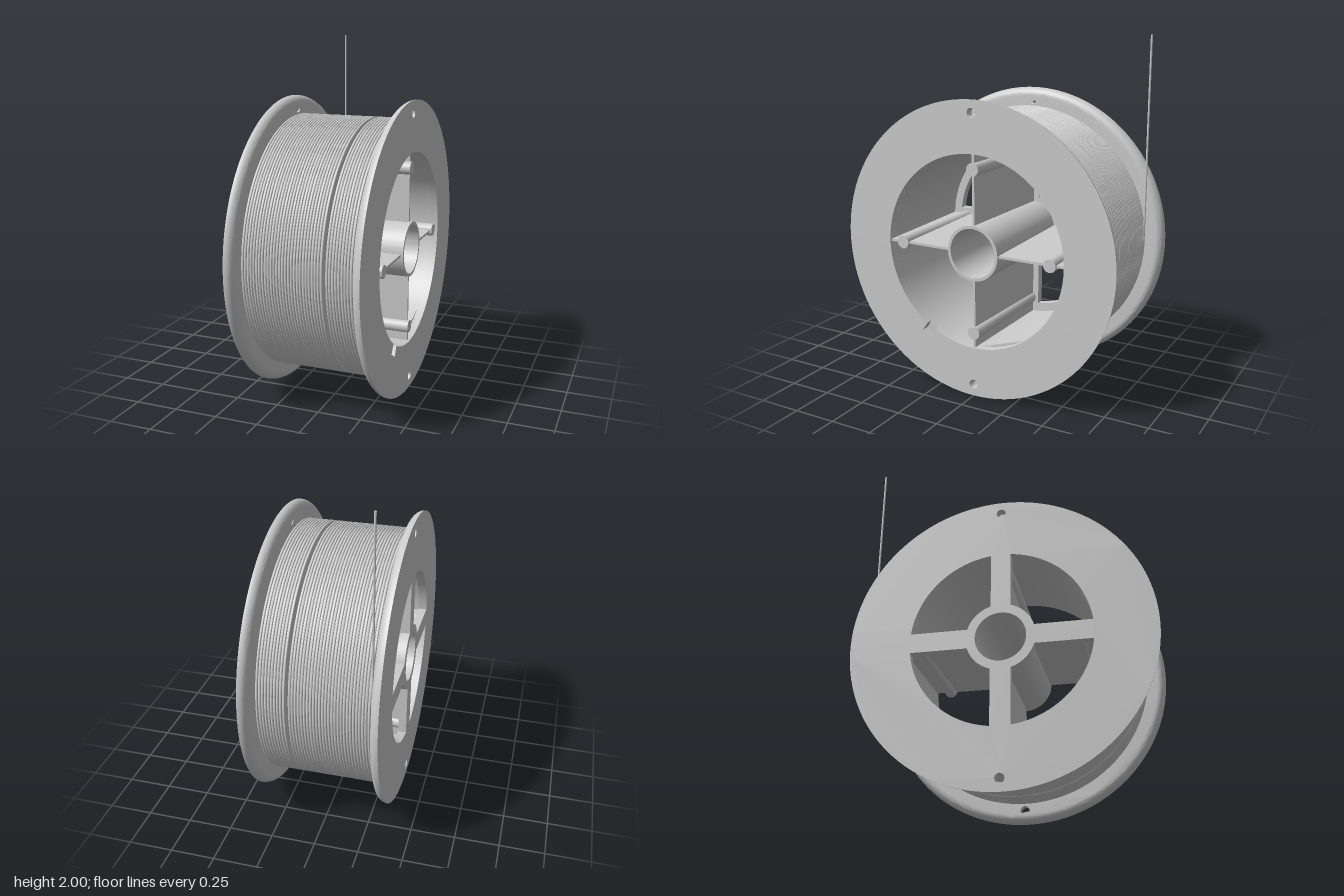
import * as THREE from 'three';
import { toCreasedNormals } from 'three/addons/utils/BufferGeometryUtils.js';

const R = 0.84;        // flange radius, also the height of the axle
const END = 0.37;      // outer face of each flange
const THICK = 0.048;   // flange thickness

export function createModel() {
  const model = new THREE.Group();
  const spool = new THREE.Group();
  spool.name = 'spool';
  spool.position.y = R;
  model.add(spool);
  const material = new THREE.MeshStandardMaterial({ color: 0xcccccc });

  function add(name, geometry, parent = spool) {
    const mesh = new THREE.Mesh(geometry, material);
    mesh.name = name;
    parent.add(mesh);
    return mesh;
  }

  // Turned part about the x axis; profile points are [radius, x]
  function turned(points, segments = 96) {
    const g = new THREE.LatheGeometry(points.map(([r, x]) => new THREE.Vector2(r, x)), segments);
    g.rotateZ(-Math.PI / 2);
    return toCreasedNormals(g, 0.7);
  }
  const tube = (ri, ro, a, b) => turned([[ri, a], [ro, a], [ro, b], [ri, b], [ri, a]]);

  function circle(x, y, r) {
    return new THREE.Path().absarc(x, y, r, 0, Math.PI * 2, false);
  }

  // Flange disc, its rim rounded off towards the inside
  function flange(holes, side) {
    const shape = new THREE.Shape().absarc(0, 0, R, 0, Math.PI * 2, false);
    shape.holes.push(...holes, circle(0, 0.77, 0.026), circle(0, -0.77, 0.026));
    const g = new THREE.ExtrudeGeometry(shape, { depth: THICK, steps: 8, bevelEnabled: false, curveSegments: 96 });
    const p = g.attributes.position;
    for (let i = 0; i < p.count; i++) {
      const a = (1 - p.getZ(i) / THICK) * Math.PI / 2;
      const onRim = Math.hypot(p.getX(i), p.getY(i)) > R - 0.01;
      const k = onRim ? 1 - 0.045 / R * (1 - Math.cos(a)) : 1;
      p.setXYZ(i, p.getX(i) * k, p.getY(i) * k, THICK * (1 - Math.sin(a)));
    }
    g.translate(0, 0, END - THICK);
    g.rotateY(side * Math.PI / 2);
    return toCreasedNormals(g, 0.7);
  }

  // Open flange: wide bore with a small notch in its edge
  const notch = Math.atan2(-0.49, -0.29), half = 0.055, turn = Math.PI * 2;
  const bore = new THREE.Path();
  bore.absarc(0, 0, 0.55, notch + half, notch - half + turn, false);
  bore.absarc(0, 0, 0.61, notch - half + turn, notch + half + turn, false);
  bore.closePath();
  add('openFlange', flange([bore], 1));

  // Spoked flange: four windows between a cross of spokes and a boss
  const windows = [];
  const spoke = 0.055, outer = 0.5, inner = 0.19;
  for (let q = 0; q < 4; q++) {
    const base = q * Math.PI / 2;
    const ao = Math.asin(spoke / outer), ai = Math.asin(spoke / inner);
    const w = new THREE.Path();
    w.absarc(0, 0, outer, base + ao, base + Math.PI / 2 - ao, false);
    w.absarc(0, 0, inner, base + Math.PI / 2 - ai, base + ai, true);
    w.closePath();
    windows.push(w);
  }
  add('spokedFlange', flange([...windows, circle(0, 0, 0.14)], -1));

  // Drum wall and hub
  add('drum', tube(0.55, 0.57, -0.33, 0.33));
  add('hub', tube(0.14, 0.157, -END + 0.002, END));

  // Ribs and round posts, one set behind each spoke
  for (let i = 0; i < 4; i++) {
    const arm = new THREE.Group();
    arm.name = 'arm' + (i + 1);
    arm.rotation.x = i * Math.PI / 2;
    spool.add(arm);

    const post = new THREE.CylinderGeometry(0.037, 0.037, 0.7, 24).rotateZ(-Math.PI / 2);
    post.translate(0.015, 0.465, 0);
    add('post', toCreasedNormals(post, 0.7), arm);

    const rib = new THREE.BoxGeometry(0.69, 0.405, 0.014);
    rib.translate(0.01, 0.3525, 0);
    const p = rib.attributes.position;
    for (let v = 0; v < p.count; v++) {
      if (p.getX(v) < 0) p.setZ(v, p.getZ(v) * 2.8);   // draft towards the spoke
    }
    rib.computeVertexNormals();
    add('rib', rib, arm);
  }

  // Wound wire: a bundle with one rounded bump per turn
  function bundle(name, from, to, turns) {
    const pitch = (to - from) / turns, wire = 0.0074, r = 0.729;
    const pts = [[0.568, from]];
    for (let t = 0; t < turns; t++) {
      const x = from + (t + 0.5) * pitch;
      for (let s = 0; s <= 6; s++) {
        const a = Math.PI * s / 6;
        pts.push([r + wire * Math.sin(a), x - wire * Math.cos(a)]);
      }
    }
    pts.push([0.568, to]);
    add(name, turned(pts));
  }
  bundle('wideWinding', -0.324, 0.132, 28);
  bundle('narrowWinding', 0.146, 0.309, 10);

  // Loose wire end rising from the back of the winding
  const loose = new THREE.CylinderGeometry(0.006, 0.006, 2 - R, 12);
  loose.translate(-0.315, (2 - R) / 2, -0.73);
  add('looseWire', loose);

  return model;
}
